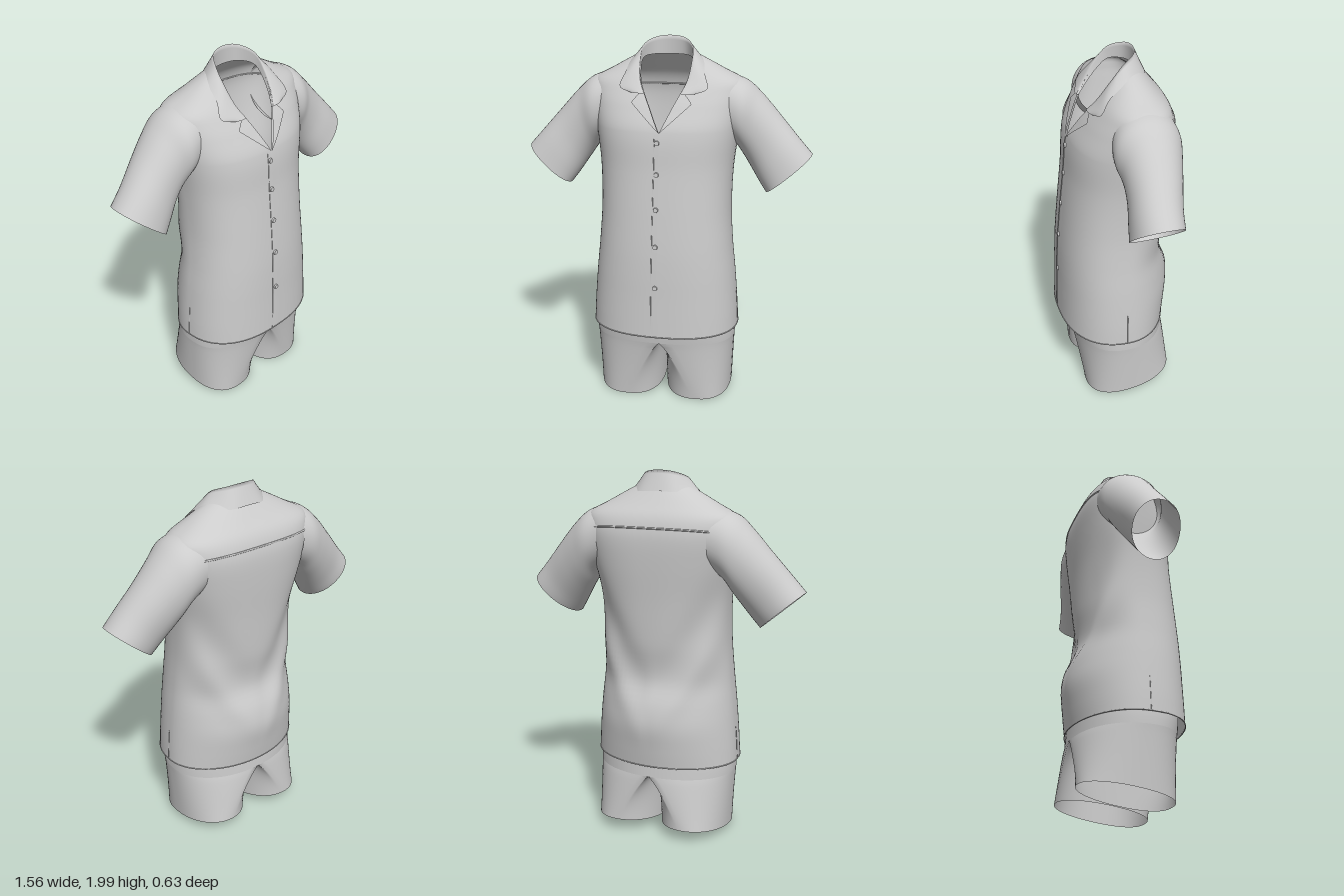
import * as THREE from 'three';

const V = (x, y, z) => new THREE.Vector3(x, y, z);
const mat = new THREE.MeshStandardMaterial({ color: 0xcccccc, side: THREE.DoubleSide });

// Smooth interpolation through rows of [key, ...values]
function table(rows) {
  const slope = (i, k) => {
    const a = rows[Math.max(i - 1, 0)], b = rows[Math.min(i + 1, rows.length - 1)];
    return (b[k] - a[k]) / (b[0] - a[0]);
  };
  return (y) => {
    let i = 0;
    while (i < rows.length - 2 && y > rows[i + 1][0]) i++;
    const a = rows[i], b = rows[i + 1], h = b[0] - a[0];
    const t = Math.min(Math.max((y - a[0]) / h, 0), 1), t2 = t * t, t3 = t2 * t;
    return a.slice(1).map((v, j) => (2 * t3 - 3 * t2 + 1) * v + (t3 - 2 * t2 + t) * h * slope(i, j + 1)
      + (3 * t2 - 2 * t3) * b[j + 1] + (t3 - t2) * h * slope(i + 1, j + 1));
  };
}

// Surface through a grid of points; closed joins each row's ends
function grid(name, rows, closed = false) {
  const n = rows[0].length, idx = [];
  const g = new THREE.BufferGeometry().setFromPoints(rows.flat());
  for (let r = 0; r < rows.length - 1; r++) {
    for (let c = 0; c < (closed ? n : n - 1); c++) {
      const a = r * n + c, b = r * n + (c + 1) % n;
      idx.push(a, b, b + n, a, b + n, a + n);
    }
  }
  g.setIndex(idx);
  g.computeVertexNormals();
  const m = new THREE.Mesh(g, mat);
  m.name = name;
  return m;
}

function tube(name, pts, r, closed = false) {
  const m = new THREE.Mesh(new THREE.TubeGeometry(new THREE.CatmullRomCurve3(pts, closed), pts.length * 3, r, 6, closed), mat);
  m.name = name;
  return m;
}

const range = (n, f) => Array.from({ length: n + 1 }, (_, i) => f(i / n));
const spow = (v, p) => Math.sign(v) * Math.abs(v) ** p;

// Shirt body by height: half width, front z, back z, side z, front and back squareness
const body = table([
  [0.42, 0.41, 0.31, -0.285, 0, 2.4, 2],
  [0.52, 0.405, 0.307, -0.30, 0, 2.4, 1.95],
  [0.65, 0.395, 0.303, -0.314, 0, 2.4, 1.9],
  [0.76, 0.385, 0.30, -0.295, 0, 2.4, 1.9],
  [0.90, 0.37, 0.293, -0.247, 0, 2.4, 2],
  [1.10, 0.357, 0.275, -0.264, -0.01, 2.4, 2.1],
  [1.33, 0.362, 0.25, -0.274, -0.03, 2.4, 2.3],
  [1.54, 0.388, 0.228, -0.285, -0.06, 2.5, 2.6],
  [1.66, 0.402, 0.175, -0.285, -0.075, 2.6, 2.8],
  [1.73, 0.408, 0.135, -0.272, -0.08, 2.6, 2.8],
  [1.78, 0.40, 0.105, -0.25, -0.08, 2.5, 2.6],
  [1.83, 0.31, 0.072, -0.21, -0.07, 2.4, 2.4],
  [1.88, 0.22, 0.035, -0.17, -0.06, 2.2, 2.2],
  [1.92, 0.145, 0, -0.138, -0.055, 2, 2],
]);
const neckEdge = table([[1.54, 0], [1.66, 0.058], [1.78, 0.117], [1.85, 0.134], [1.92, 0.137]]);

function bodyPoint(t, y) {
  const [w, zf, zb, zc, nf, nb] = body(y);
  const s = Math.sin(t), c = Math.cos(t), n = c > 0 ? nf : nb;
  const x = w * spow(s, 2 / n);
  let z = zc + (c > 0 ? zf - zc : zc - zb) * spow(c, 2 / n);
  if (c < 0) {
    // Slanting drape folds on the back
    const d = (y - 0.62 - 1.35 * Math.abs(x)) / 0.11;
    const e = (y - 0.87 - 1.35 * Math.abs(x)) / 0.13;
    z += (0.018 * Math.exp(-e * e) - 0.02 * Math.exp(-d * d)) * Math.min(1, Math.abs(x) * 5) * Math.min(1, -c * 1.5);
  }
  return V(x, y, z);
}
function frontZ(x, y) {
  const [w, zf, , zc, n] = body(y);
  return zc + (zf - zc) * Math.max(0, 1 - (Math.abs(x) / w) ** n) ** (1 / n);
}

function shirtBody() {
  const ys = [...range(36, (v) => 0.42 + 1.12 * v), ...range(26, (v) => 1.54 + 0.38 * v).slice(1)];
  return grid('shirtBody', ys.map((y) => {
    const [w, , , , n] = body(y);
    const t0 = y > 1.54 ? Math.asin(Math.min(1, (Math.max(0, neckEdge(y)[0]) / w) ** (n / 2))) : 0;
    return range(80, (u) => bodyPoint(t0 + u * (2 * Math.PI - 2 * t0), y));
  }));
}

// Sleeve rings from inside the shoulder to the cuff: top x, top y, under x, under y, z centre, z radius
const sleeve = table([
  [0, 0.31, 1.815, 0.31, 1.49, -0.08, 0.165],
  [0.2, 0.415, 1.782, 0.368, 1.445, -0.076, 0.172],
  [0.4, 0.50, 1.71, 0.41, 1.385, -0.08, 0.153],
  [0.6, 0.60, 1.60, 0.45, 1.325, -0.072, 0.138],
  [0.8, 0.70, 1.487, 0.50, 1.25, -0.055, 0.13],
  [1, 0.778, 1.40, 0.54, 1.195, -0.048, 0.128],
]);
function sleeveRing(side, v) {
  const [tx, ty, bx, by, zc, zr] = sleeve(v);
  return range(47, (u) => {
    const a = u * Math.PI * 2 * 47 / 48, k = 0.5 - 0.5 * spow(Math.cos(a), 0.94);
    // The underside swings forward towards the cuff
    return V(side * (tx + (bx - tx) * k), ty + (by - ty) * k, zc + zr * spow(Math.sin(a), 0.94) + 0.035 * k * k * v * v);
  });
}

// Folded collar: inner base, fold line and outer edge, from nape to notch
function collar() {
  const on = (x, y) => V(x, y, frontZ(x, y) + 0.01);
  const base = [V(0, 1.9, -0.125), V(0.085, 1.9, -0.1), V(0.13, 1.89, -0.03), V(0.132, 1.84, 0.03), V(0.117, 1.775, 0.09), V(0.09, 1.725, 0.14)];
  const fold = [V(0, 2, -0.12), V(0.08, 1.99, -0.1), V(0.132, 1.955, -0.025), V(0.137, 1.88, 0.04), V(0.123, 1.79, 0.105), V(0.095, 1.73, 0.15)];
  const edge = [V(0, 1.895, -0.166), V(0.11, 1.89, -0.148), V(0.185, 1.893, -0.045), on(0.21, 1.825), on(0.23, 1.755), on(0.165, 1.73)];
  const full = (p) => new THREE.CatmullRomCurve3([...p.slice(1).reverse().map((q) => V(-q.x, q.y, q.z)), ...p]);
  const [a, b, c] = [base, fold, edge].map(full);
  return grid('collar', range(60, (u) => {
    const A = a.getPoint(u), B = b.getPoint(u), C = c.getPoint(u);
    return [...range(4, (k) => A.clone().lerp(B, k)), ...range(6, (k) => {
      const p = B.clone().lerp(C, k);
      p.z += B.z > 0 ? 0.007 * Math.sin(k * Math.PI) : 0;
      return p;
    }).slice(1)];
  }));
}

function lapel(side) {
  return grid('lapel', range(20, (v) => {
    const y = 1.54 + 0.19 * v, x0 = Math.max(0, neckEdge(y)[0]);
    const x1 = y < 1.685 ? 0.16 * (y - 1.54) / 0.145 : 0.16 - 0.04 * (y - 1.685) / 0.045;
    return range(6, (u) => {
      const x = x0 + (Math.max(x1, x0) - x0) * u;
      return V(side * x, y, frontZ(x, y) + 0.009);
    });
  }));
}

// Shorts by height: half width, front z, back z
const hips = table([[0.3, 0.392, 0.243, -0.285], [0.42, 0.393, 0.26, -0.277], [0.55, 0.375, 0.265, -0.265], [0.7, 0.35, 0.25, -0.235]]);
function hipPoint(t, y) {
  const [w, zf, zb] = hips(y), c = Math.cos(t), e = c > 0 ? 0.78 : 0.95;
  return V(w * spow(Math.sin(t), e), y, (c > 0 ? zf : -zb) * spow(c, e));
}

// Leg morphs from half of the hips to a rounded hem that dips at the front
function leg(side) {
  return grid('shortsLeg', range(16, (v) => range(63, (u) => {
    const t = u * Math.PI * 2 * 63 / 64, crotch = 0.36;
    const top = hipPoint(Math.min(t, Math.PI), crotch);
    if (t > Math.PI) top.set(0, crotch, THREE.MathUtils.lerp(hips(crotch)[2], hips(crotch)[1], t / Math.PI - 1));
    const c = Math.cos(t), e = c > 0 ? 0.82 : 0.95;
    const z = -0.03 + (c > 0 ? 0.235 : 0.262) * spow(c, e);
    const hem = V(0.193 + 0.185 * spow(Math.sin(t), e), 0.008 + (0.205 - z) * 0.143, z);
    const p = top.clone().lerp(hem, v ** 0.8);
    p.y = THREE.MathUtils.lerp(crotch, hem.y, v);
    p.x *= side;
    return p;
  })), true);
}

export function createModel() {
  const model = new THREE.Group();
  const shirt = new THREE.Group(), shorts = new THREE.Group();
  shirt.name = 'shirt';
  shorts.name = 'shorts';
  model.add(shirt, shorts);

  shirt.add(shirtBody(), collar());
  shirt.add(tube('shirtHem', range(39, (u) => bodyPoint(u * Math.PI * 2 * 39 / 40, 0.424)), 0.003, true));
  // Yoke seam across the upper back
  shirt.add(tube('yokeSeam', range(24, (u) => bodyPoint(Math.PI * (0.62 + 0.76 * u), 1.715 - 0.02 * (2 * u - 1) ** 2)), 0.005));
  // Front overlap edge
  shirt.add(tube('placketEdge', range(40, (u) => {
    const y = 0.43 + 1.1 * u, x = -0.035 + 0.012 * u;
    return V(x, y, frontZ(x, y) + 0.001);
  }), 0.002));

  for (const side of [1, -1]) {
    shirt.add(grid('sleeve', range(30, (v) => sleeveRing(side, v)), true), lapel(side));
    shirt.add(tube('sideVent', range(6, (u) => bodyPoint(side * Math.PI * 0.49, 0.43 + 0.18 * u)), 0.002));
    shorts.add(leg(side));
  }

  for (const y of [1.49, 1.325, 1.14, 0.94, 0.71]) {
    const button = new THREE.Mesh(new THREE.CylinderGeometry(0.012, 0.014, 0.012, 16), mat);
    button.name = 'button';
    button.rotation.x = Math.PI / 2 - 0.08;
    button.position.set(-0.01, y, frontZ(0.01, y) + 0.003);
    shirt.add(button);
  }

  // Seat of the shorts, tucked under the shirt
  shorts.add(grid('shortsHips', range(10, (v) => range(64, (u) => hipPoint(u * Math.PI * 2, 0.36 + 0.34 * v)))));
  return model;
}
